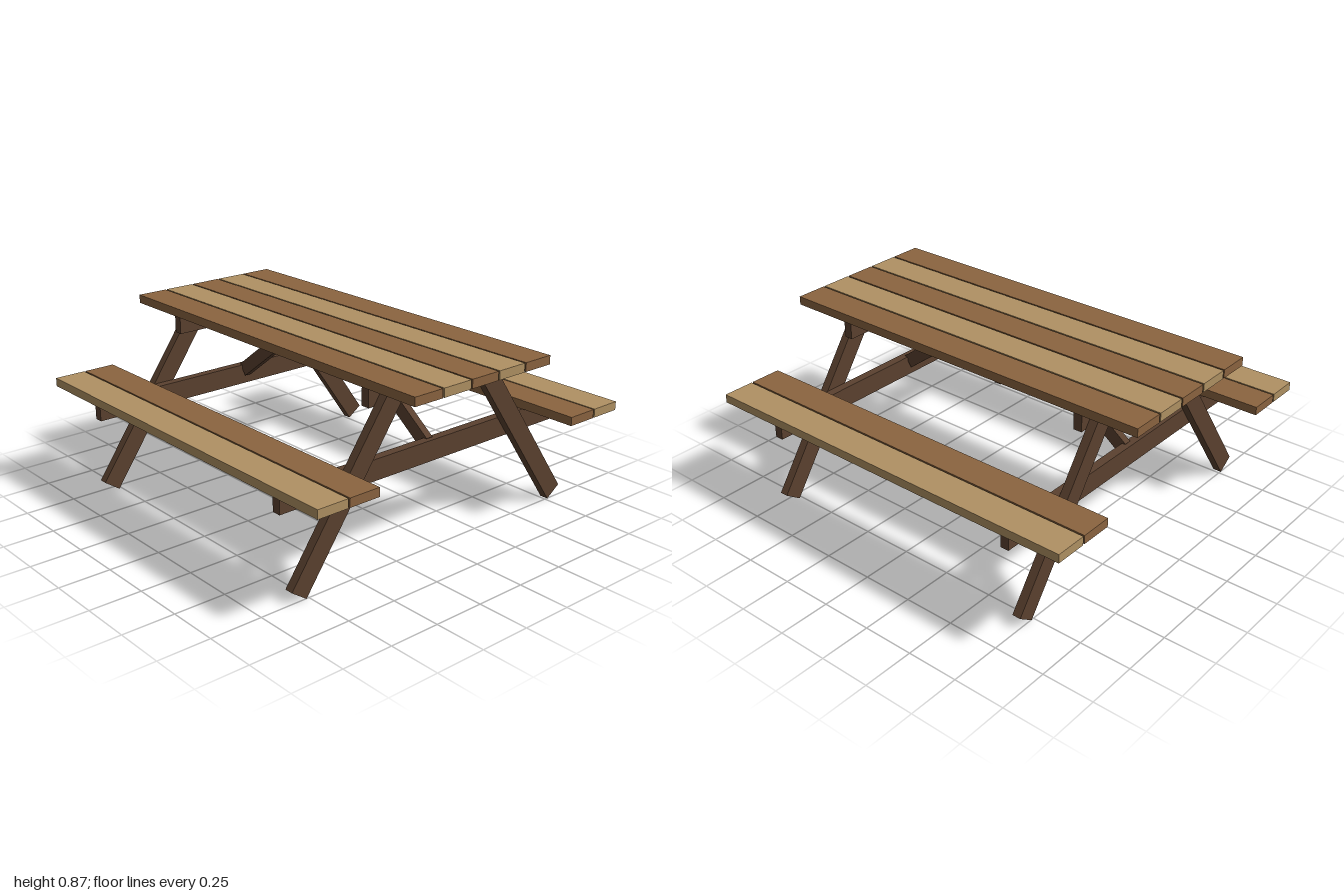
import * as THREE from 'three';

export function createModel() {
  const material = (name, color) => {
    const m = new THREE.MeshStandardMaterial({ color });
    m.name = name;
    return m;
  };
  const lightWood = material('light wood', 0xb09163);
  const warmWood = material('warm wood', 0x8b6440);
  const frameWood = material('frame wood', 0x5b412f);

  const model = new THREE.Group();
  model.name = 'picnicTable';

  const beam = (name, size, position, mat) => {
    const mesh = new THREE.Mesh(new THREE.BoxGeometry(...size), mat);
    mesh.name = name;
    mesh.position.set(...position);
    model.add(mesh);
    return mesh;
  };

  // Tabletop: five planks in alternating woods
  const pitch = 0.165, plankWidth = 0.157;
  for (let i = -2; i <= 2; i++) {
    beam('tabletopPlank', [2, 0.042, plankWidth], [0, 0.853, i * pitch], i % 2 ? lightWood : warmWood);
  }

  // Benches: a warm inner plank and a light outer plank on each side
  for (const side of [-1, 1]) {
    beam('benchInnerPlank', [2, 0.042, plankWidth], [0, 0.519, side * 0.668], warmWood);
    beam('benchOuterPlank', [2, 0.042, plankWidth], [0, 0.519, side * 0.833], lightWood);
  }

  // Trestle at each end
  const legTilt = THREE.MathUtils.degToRad(35);
  for (const end of [-1, 1]) {
    beam('tabletopBearer', [0.043, 0.092, 0.78], [end * 0.688, 0.786, 0], frameWood);
    beam('benchBearer', [0.043, 0.1, 1.734], [end * 0.688, 0.448, 0], frameWood);

    // Splayed legs on the outer face of the bearers
    for (const side of [-1, 1]) {
      const leg = beam('leg', [0.043, 0.968, 0.094], [end * 0.731, 0.423, side * 0.526], frameWood);
      leg.rotation.x = -side * legTilt;
    }

    // Diagonal brace from the bench bearer up to the tabletop
    const low = new THREE.Vector2(0.665, 0.473), high = new THREE.Vector2(0.205, 0.818);
    const brace = beam('brace', [low.distanceTo(high), 0.068, 0.036],
      [end * (low.x + high.x) / 2, (low.y + high.y) / 2, 0], frameWood);
    brace.rotation.z = -end * Math.atan2(high.y - low.y, low.x - high.x);
  }

  return model;
}
